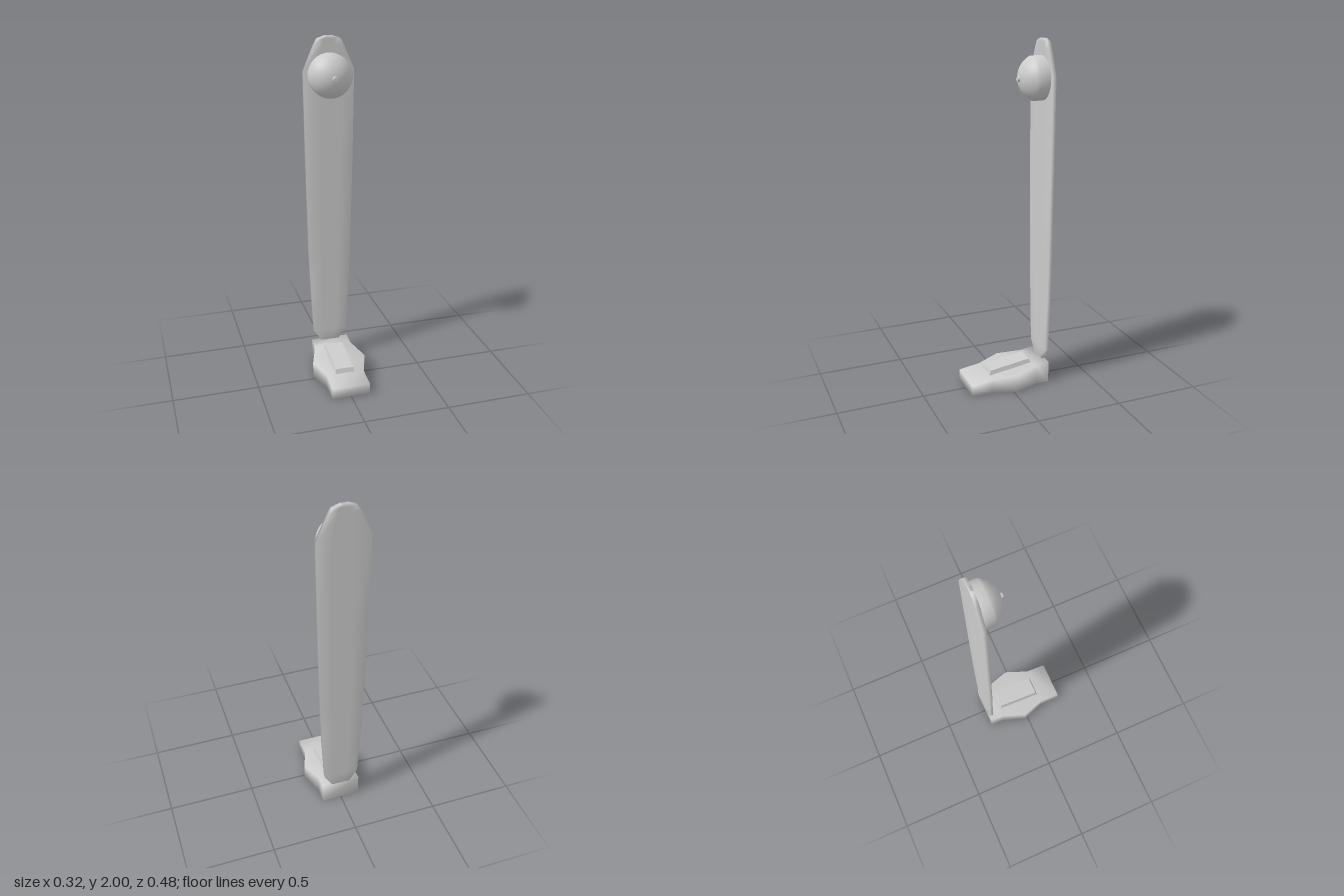
import * as THREE from 'three';
import { toCreasedNormals } from 'three/addons/utils/BufferGeometryUtils.js';

const material = new THREE.MeshStandardMaterial({ color: 0xcccccc });

function add(group, name, geometry) {
  const mesh = new THREE.Mesh(geometry, material);
  mesh.name = name;
  group.add(mesh);
  return mesh;
}

// Smooth slab lofted through rows of [position, halfWidth, low, high];
// place(x, thickness, position) turns slab coordinates into a point.
function slab(rows, columns, place) {
  const n = columns.length, ring = 2 * n, points = [], index = [];
  const quad = (a, b, c, d) => index.push(a, b, c, a, c, d);
  for (const [s, w, low, high] of rows) {
    for (let k = 0; k < n; k++) points.push(...place(columns[k] * w, low, s));
    for (let k = n - 1; k >= 0; k--) points.push(...place(columns[k] * w, high, s));
  }
  for (let i = 0; i < rows.length - 1; i++) {
    for (let j = 0; j < ring; j++) {
      const a = i * ring + j, b = i * ring + (j + 1) % ring;
      quad(a, b, b + ring, a + ring);
    }
  }
  const last = (rows.length - 1) * ring;
  for (let k = 0; k < n - 1; k++) {
    const m = ring - 1 - k;
    quad(m, m - 1, k + 1, k);
    quad(last + k, last + k + 1, last + m - 1, last + m);
  }
  const geometry = new THREE.BufferGeometry();
  geometry.setAttribute('position', new THREE.Float32BufferAttribute(points, 3));
  geometry.setIndex(index);
  geometry.computeVertexNormals();
  return geometry;
}

// Height of the sloping top of the base at depth z
const baseTop = (z) => 0.0975 - z * 0.135;

export function createModel() {
  const group = new THREE.Group();

  // Wedge base with flared sides
  const baseRows = [[-0.24, 0.113], [-0.16, 0.113], [-0.02, 0.161], [0.117, 0.113], [0.24, 0.113]]
    .map(([z, w]) => [z, w, 0, baseTop(z)]);
  add(group, 'base', slab(baseRows, [-1, 1], (x, y, z) => [x, y, z]));

  // Bevelled pad lying on the slope
  const pad = new THREE.BoxGeometry(0.124, 1, 0.27);
  const p = pad.attributes.position;
  for (let i = 0; i < p.count; i++) {
    const top = p.getY(i) > 0;
    const z = p.getZ(i) * (top ? 0.9 : 1) - 0.018;
    p.setXYZ(i, p.getX(i) * (top ? 0.84 : 1), baseTop(z) + (top ? 0.025 : -0.01), z);
  }
  pad.computeVertexNormals();
  add(group, 'pad', pad);

  // Tall, thin board, listed from the top down
  const boardRows = [
    [2.0, 0.02], [1.985, 0.065], [1.95, 0.086], [1.81, 0.146], [1.3, 0.139],
    [0.7, 0.127], [0.49, 0.118], [0.2, 0.102], [0.125, 0.055],
  ].map(([y, w]) => [y, w, -0.242, -0.222]);
  add(group, 'board', slab(boardRows, [-1, -0.4, 0.4, 1], (x, z, y) => [x, y, z]));

  // Round dome on a short drum, with a small nub at its tip
  const radius = 0.122, rise = 0.075;
  const R = (radius * radius + rise * rise) / (2 * rise);
  const profile = [new THREE.Vector2(0, 0), new THREE.Vector2(radius, 0)];
  const sweep = Math.asin(radius / R);
  for (let i = 0; i <= 10; i++) {
    const a = sweep * (1 - i / 10);
    profile.push(new THREE.Vector2(R * Math.sin(a), 0.059 + rise - R * (1 - Math.cos(a))));
  }
  const dome = add(group, 'dome', toCreasedNormals(new THREE.LatheGeometry(profile, 32), 0.7));
  const nub = add(group, 'domeNub', new THREE.CylinderGeometry(0.013, 0.017, 0.016, 16));
  dome.position.set(0, 1.787, -0.223);
  nub.position.set(0, 1.787, -0.086);
  dome.rotation.x = nub.rotation.x = Math.PI / 2;

  return group;
}
